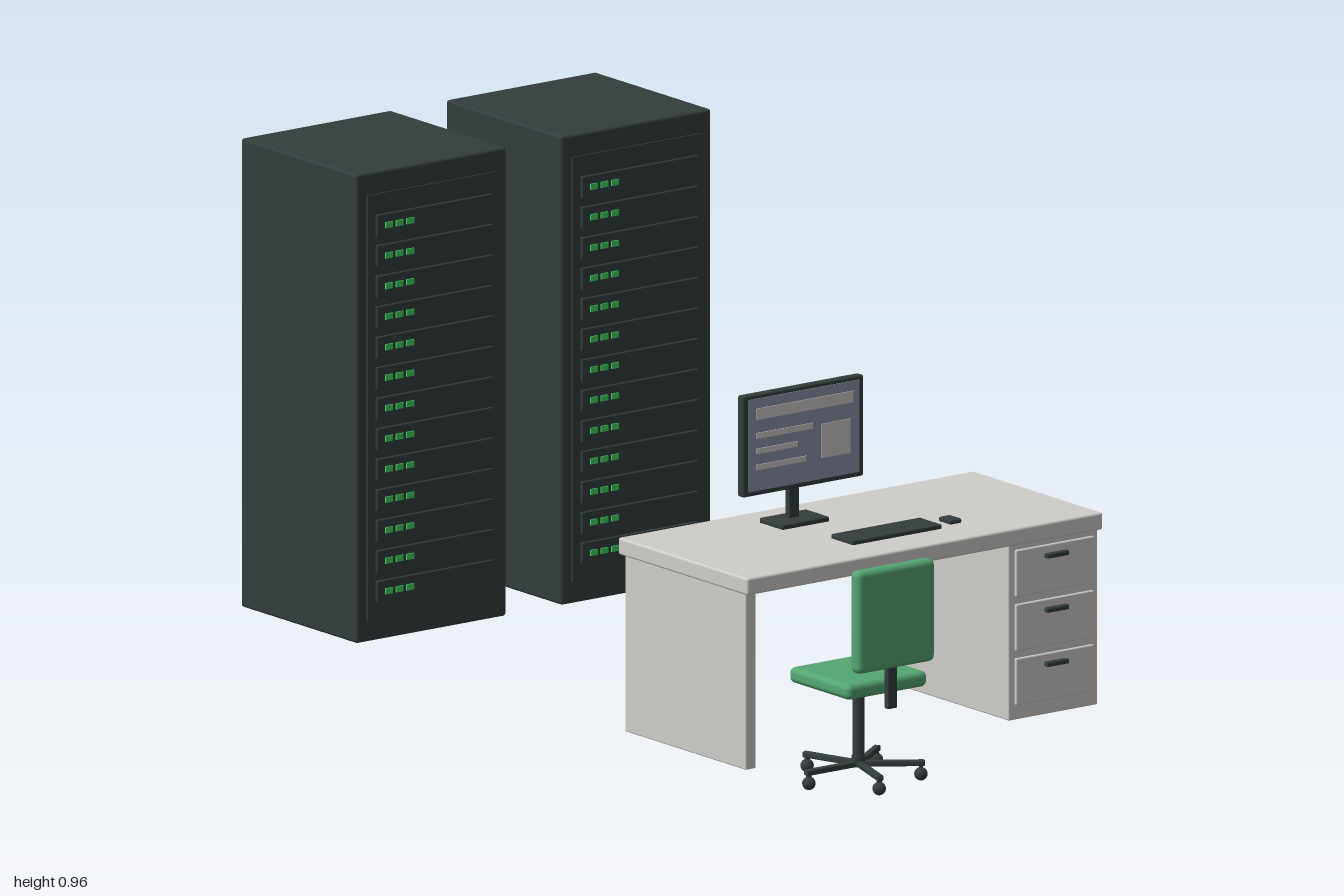
import * as THREE from 'three';
import { RoundedBoxGeometry } from 'three/addons/geometries/RoundedBoxGeometry.js';

function material(name, color) {
  const m = new THREE.MeshStandardMaterial({ color });
  m.name = name;
  return m;
}

export function createModel() {
  const charcoal = material('charcoal', 0x343d3d);
  const laminate = material('lightGreyLaminate', 0xcfcdca);
  const fabric = material('greenFabric', 0x55a674);
  const led = material('greenLight', 0x40d263);
  const glass = material('blueGreyScreen', 0x8993a9);
  const content = material('paleScreenContent', 0xcccac6);

  // Box given by its limits on each axis; r rounds the edges
  function box(parent, name, mat, [x0, x1], [y0, y1], [z0, z1], r = 0) {
    const size = [x1 - x0, y1 - y0, z1 - z0];
    const geo = r ? new RoundedBoxGeometry(...size, 3, r) : new THREE.BoxGeometry(...size);
    const mesh = new THREE.Mesh(geo, mat);
    mesh.name = name;
    mesh.position.set((x0 + x1) / 2, (y0 + y1) / 2, (z0 + z1) / 2);
    parent.add(mesh);
    return mesh;
  }
  function group(parent, name) {
    const g = new THREE.Group();
    g.name = name;
    parent.add(g);
    return g;
  }

  const model = new THREE.Group();
  model.name = 'serverRoomWorkstation';

  // Server racks: cabinet, front panel, thirteen units with three lights each
  for (const [side, cx] of [['right', -0.2475], ['left', 0.2645]]) {
    const rack = group(model, side + 'ServerRack');
    rack.position.x = cx;
    box(rack, 'cabinet', charcoal, [-0.1875, 0.1875], [0, 0.96], [-1, -0.621], 0.006);
    box(rack, 'frontPanel', charcoal, [-0.162, 0.162], [0.045, 0.915], [-0.63, -0.617]);
    for (let i = 0; i < 13; i++) {
      const y = 0.1 + i * 0.0625;
      box(rack, 'serverUnit', charcoal, [-0.143, 0.148], [y - 0.022, y + 0.023], [-0.62, -0.611], 0.002);
      for (let k = 0; k < 3; k++) {
        const x = -0.115 + k * 0.0265;
        box(rack, 'statusLight', led, [x - 0.009, x + 0.009], [y - 0.006, y + 0.006], [-0.613, -0.608]);
      }
    }
  }

  // Desk: top, side panel and drawer pedestal
  const desk = group(model, 'desk');
  box(desk, 'deskTop', laminate, [-0.447, 0.442], [0.36, 0.395], [0.25, 0.674], 0.005);
  box(desk, 'sidePanel', laminate, [-0.442, -0.416], [0, 0.362], [0.267, 0.662], 0.003);
  box(desk, 'drawerPedestal', laminate, [0.215, 0.438], [0, 0.362], [0.267, 0.662], 0.003);
  for (let i = 0; i < 3; i++) {
    const y = 0.078 + i * 0.111;
    box(desk, 'drawerFront', laminate, [0.23, 0.425], [y - 0.048, y + 0.048], [0.655, 0.668], 0.003);
    box(desk, 'drawerHandle', charcoal, [0.3, 0.355], [y + 0.022, y + 0.032], [0.666, 0.679], 0.003);
  }

  // Monitor with a simple page layout on the screen
  const monitor = group(model, 'monitor');
  box(monitor, 'casing', charcoal, [-0.243, 0.058], [0.473, 0.68], [0.374, 0.394], 0.004);
  box(monitor, 'screen', glass, [-0.23, 0.046], [0.483, 0.672], [0.39, 0.396]);
  const blocks = [
    [-0.212, 0.029, 0.629, 0.652], [-0.212, -0.072, 0.59, 0.602],
    [-0.212, -0.11, 0.559, 0.57], [-0.212, -0.088, 0.526, 0.537],
    [-0.05, 0.021, 0.526, 0.596],
  ];
  for (const [x0, x1, y0, y1] of blocks) {
    box(monitor, 'screenContent', content, [x0, x1], [y0, y1], [0.394, 0.398]);
  }
  box(monitor, 'neck', charcoal, [-0.106, -0.08], [0.4, 0.485], [0.35, 0.364], 0.003);
  box(monitor, 'foot', charcoal, [-0.151, -0.034], [0.394, 0.405], [0.325, 0.402], 0.003);

  // Keyboard and mouse
  box(model, 'keyboard', charcoal, [-0.115, 0.108], [0.394, 0.404], [0.512, 0.585], 0.003);
  box(model, 'mouse', charcoal, [0.14, 0.169], [0.394, 0.404], [0.53, 0.57], 0.004);

  // Office chair, built around its column
  const chair = group(model, 'officeChair');
  chair.position.set(-0.315, 0, 0.865);
  box(chair, 'seat', fabric, [-0.101, 0.1], [0.197, 0.229], [-0.099, 0.098], 0.012);
  box(chair, 'backrest', fabric, [-0.096, 0.098], [0.255, 0.465], [0.095, 0.126], 0.012);
  box(chair, 'backSupport', charcoal, [-0.012, 0.012], [0.17, 0.275], [0.099, 0.113], 0.003);
  const column = new THREE.Mesh(new THREE.CylinderGeometry(0.012, 0.012, 0.15, 20), charcoal);
  column.name = 'column';
  column.position.y = 0.123;
  chair.add(column);

  // Five spokes with round casters
  for (let i = 0; i < 5; i++) {
    const spoke = group(chair, 'baseSpoke');
    spoke.rotation.y = Math.PI + i * Math.PI * 0.4;
    box(spoke, 'arm', charcoal, [-0.008, 0.132], [0.03, 0.042], [-0.007, 0.007], 0.003);
    const caster = new THREE.Mesh(new THREE.SphereGeometry(0.0135, 16, 12), charcoal);
    caster.name = 'caster';
    caster.position.set(0.124, 0.0135, 0);
    spoke.add(caster);
    box(spoke, 'casterStem', charcoal, [0.12, 0.128], [0.02, 0.034], [-0.004, 0.004]);
  }
  const hub = new THREE.Mesh(new THREE.CylinderGeometry(0.014, 0.014, 0.022, 20), charcoal);
  hub.name = 'baseHub';
  hub.position.y = 0.041;
  chair.add(hub);

  return model;
}
